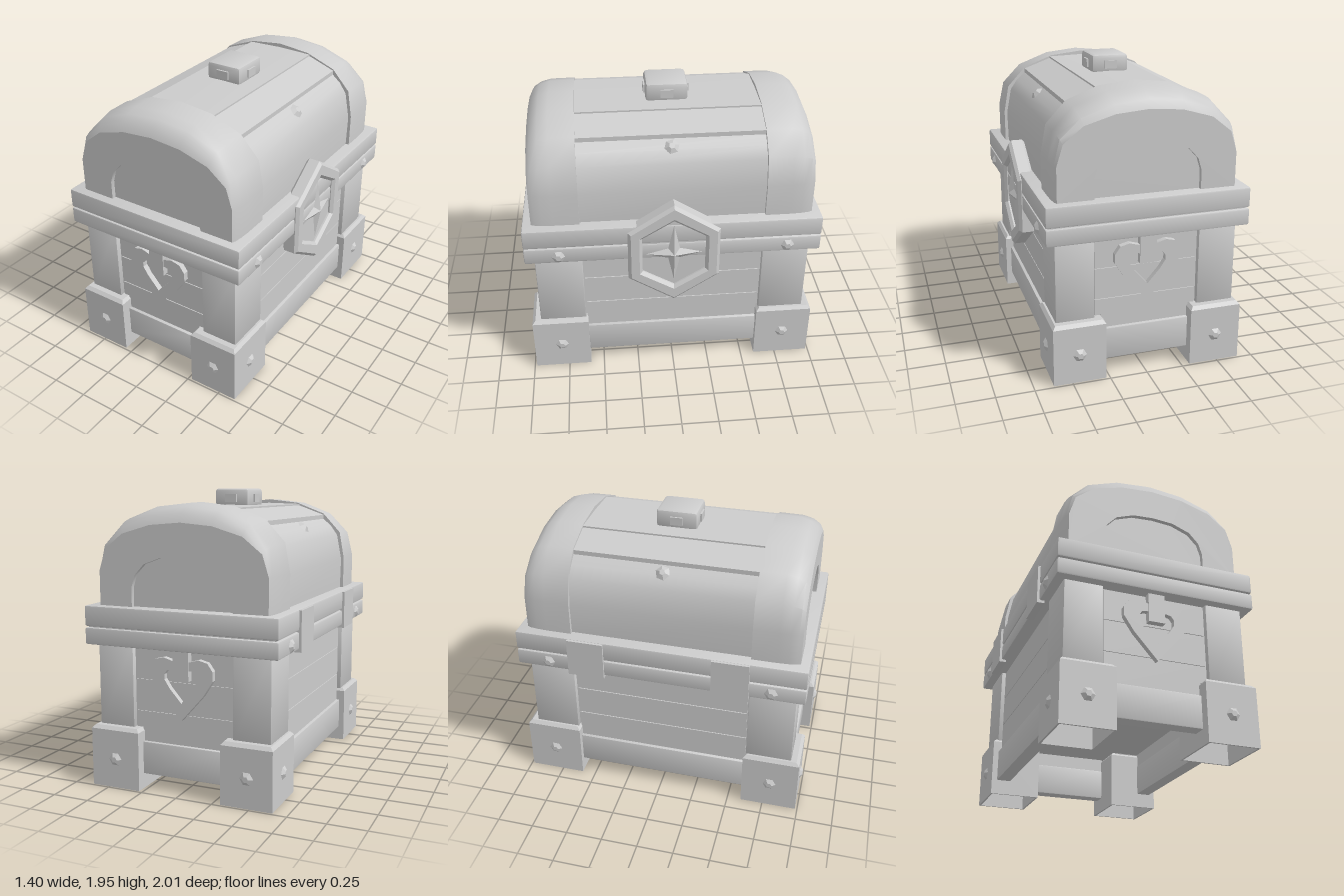
import * as THREE from 'three';
import { toCreasedNormals } from 'three/addons/utils/BufferGeometryUtils.js';
import { RoundedBoxGeometry } from 'three/addons/geometries/RoundedBoxGeometry.js';

const grey = new THREE.MeshStandardMaterial({ color: 0xcccccc });
grey.name = 'plain grey';

const V = (list) => list.map(([x, y]) => new THREE.Vector2(x, y));
// Completes a half outline (right side, bottom to top) with its mirror image
const mirrored = (half) => [...half, ...half.slice().reverse().filter(([x]) => x > 0).map(([x, y]) => [-x, y])];

function add(parent, name, geometry, x = 0, y = 0, z = 0) {
  const mesh = new THREE.Mesh(geometry, grey);
  mesh.name = name;
  mesh.position.set(x, y, z);
  parent.add(mesh);
  return mesh;
}

// Box given by centre x/z and bottom/top y; optional softened edges
function box(parent, name, w, y0, y1, d, x = 0, z = 0, r = 0) {
  const g = r ? toCreasedNormals(new RoundedBoxGeometry(w, y1 - y0, d, 1, r), 0.6) : new THREE.BoxGeometry(w, y1 - y0, d);
  return add(parent, name, g, x, (y0 + y1) / 2, z);
}

function plate(points, depth, hole, bevel = 0) {
  const shape = new THREE.Shape(V(points));
  if (hole) shape.holes.push(new THREE.Path(V(hole)));
  return toCreasedNormals(new THREE.ExtrudeGeometry(shape, {
    depth, bevelEnabled: bevel > 0, bevelSize: bevel, bevelThickness: bevel, bevelOffset: -bevel, bevelSegments: 1,
  }), 0.5);
}

// Six-sided stud standing on a surface point, its axis along dir
function stud(parent, x, y, z, dir) {
  const g = new THREE.CylinderGeometry(0.02, 0.05, 0.022, 6).toNonIndexed();
  g.computeVertexNormals();
  g.rotateY(Math.PI / 6).translate(0, 0.008, 0).rotateX(Math.PI / 2);
  const m = add(parent, 'stud', g, x, y, z);
  m.quaternion.setFromUnitVectors(new THREE.Vector3(0, 0, 1), new THREE.Vector3(...dir).normalize());
}

// Hollow foot, open below, with a chamfered top
function foot(parent, x, z) {
  const w = 0.348, d = 0.39, wall = 0.012;
  const rect = (a, b) => [[-a, -b], [a, -b], [a, b], [-a, b]];
  const sides = plate(rect(w / 2, d / 2), 0.39, rect(w / 2 - wall, d / 2 - wall)).rotateX(-Math.PI / 2);
  add(parent, 'foot', sides, x, 0, z);
  const cap = new THREE.CylinderGeometry(0.89 * Math.SQRT1_2, Math.SQRT1_2, 0.022, 4).toNonIndexed();
  cap.rotateY(Math.PI / 4).scale(w, 1, d).computeVertexNormals();
  add(parent, 'footTop', cap, x, 0.401, z);
}

const LID = mirrored([[0.605, 1.2], [0.605, 1.43], [0.57, 1.62], [0.44, 1.76], [0.23, 1.84], [0, 1.865]]);
const ARCH = mirrored([[0.35, 1.2], [0.35, 1.33], [0.325, 1.41], [0.26, 1.48], [0.14, 1.525], [0, 1.535]]);
// The arch drawn in by inset, most at the crown and little at the upright sides
const shrink = (inset) => LID.map(([x, y]) => {
  const t = Math.max(0, (y - 1.43) / 0.435);
  return [x * (1 - inset * (0.3 + 0.3 * t)), y - inset * t];
});

// Rounded end band of the lid, lofted from shrinking arches
function bandGeometry() {
  const sections = [[0.61, 0], [0.78, 0.003], [0.85, 0.025], [0.9, 0.065], [0.925, 0.12]];
  const n = LID.length, pos = [], idx = [];
  sections.forEach(([z, inset]) => shrink(inset).forEach(([x, y]) => pos.push(x, y, z)));
  for (let s = 0; s < sections.length - 1; s++) {
    for (let i = 0; i < n - 1; i++) {
      const a = s * n + i, b = a + 1, c = a + n, d = c + 1;
      idx.push(a, b, c, b, d, c);
    }
  }
  const g = new THREE.BufferGeometry();
  g.setAttribute('position', new THREE.Float32BufferAttribute(pos, 3));
  g.setIndex(idx);
  return toCreasedNormals(g, 0.75);
}

function heart(s) {
  const half = [[0, -0.24], [0.15, -0.07], [0.215, 0.03], [0.215, 0.09], [0.18, 0.14], [0.12, 0.155], [0.05, 0.135], [0, 0.09]];
  const left = half.slice(1, -1).reverse().map(([x, y]) => [-x, y]);
  return [...half, ...left].map(([x, y]) => [x * s, y * s]);
}

// Four-pointed faceted star, raised towards +z
function starGeometry() {
  const pos = [];
  const p = (i) => {
    const r = i % 2 ? 0.055 : i % 4 ? 0.222 : 0.185, a = i * Math.PI / 4;
    return [r * Math.cos(a), r * Math.sin(a), 0];
  };
  for (let i = 0; i < 8; i++) pos.push(0, 0, 0.035, ...p(i), ...p(i + 1));
  const g = new THREE.BufferGeometry();
  g.setAttribute('position', new THREE.Float32BufferAttribute(pos, 3));
  g.computeVertexNormals();
  return g;
}

export function createModel() {
  const root = new THREE.Group();
  root.name = 'treasureChest';
  const chest = new THREE.Group();
  chest.name = 'chest';
  chest.position.x = -0.015;
  root.add(chest);

  // Body with its floor at foot height
  box(chest, 'body', 1.14, 0.412, 0.96, 1.78);

  // Plank rows between the posts and base beams between the feet
  for (const s of [-1, 1]) {
    for (let i = 0; i < 3; i++) {
      const y = 0.315 + i * 0.212;
      box(chest, 'sidePlank', 0.07, y, y + 0.206, 1.2, s * 0.542);
      box(chest, 'endPlank', 0.6, y, y + 0.206, 0.07, 0, s * 0.862);
      box(chest, 'endPlankMargin', 0.68, Math.max(y, 0.412), y + 0.206, 0.07, 0, s * 0.862);
    }
    box(chest, 'sideBeam', 0.1, 0.1, 0.32, 1.2, s * 0.55, 0, 0.008);
    box(chest, 'endBeam', 0.59, 0.1, 0.32, 0.1, 0, s * 0.87, 0.008);
  }

  // Corner posts, feet and studs
  for (const sx of [-1, 1]) {
    for (const sz of [-1, 1]) {
      box(chest, 'cornerPost', 0.255, 0.4, 0.96, 0.315, sx * 0.4775, sz * 0.7675, 0.008);
      foot(chest, sx * 0.464, sz * 0.79);
      stud(chest, sx * 0.465, 0.195, sz * 0.985, [0, 0, sz]);
      stud(chest, sx * 0.638, 0.195, sz * 0.79, [sx, 0, 0]);
      stud(chest, sx * 0.67, 1.0, sz * 0.76, [sx, 0, 0]);
    }
    stud(chest, sx * 0.485, 1.687, 0, [sx * 0.7, 0.71, 0]);
  }

  // Rims of the body and the lid
  box(chest, 'lowerRim', 1.34, 0.95, 1.062, 1.97, 0, 0, 0.012);
  box(chest, 'rimGap', 1.3, 1.04, 1.1, 1.93);
  box(chest, 'upperRim', 1.34, 1.07, 1.205, 1.97, 0, 0, 0.012);

  // Middle of the lid with stepped boards
  const boards = mirrored([[0.58, 1.19], [0.585, 1.42], [0.55, 1.6], [0.5, 1.67], [0.44, 1.72], [0.44, 1.75],
    [0.245, 1.82], [0.245, 1.831], [0, 1.838]]);
  add(chest, 'lidBoards', plate(boards, 1.24), 0, 0, -0.62);

  // Both ends: lid band, recessed arch and heart clasp
  for (const turn of [0, Math.PI]) {
    const end = new THREE.Group();
    end.name = turn ? 'backEnd' : 'frontEnd';
    end.rotation.y = turn;
    chest.add(end);
    add(end, 'lidBand', bandGeometry());
    add(end, 'lidBandInnerFace', new THREE.ShapeGeometry(new THREE.Shape(V(LID))).rotateY(Math.PI), 0, 0, 0.61);
    // Arch opening raised a hair so that it stays inside the outline
    const opening = ARCH.map(([x, y]) => [x, Math.max(y, 1.201)]);
    add(end, 'lidEndFrame', plate(shrink(0.12), 0.04, opening), 0, 0, 0.885);
    add(end, 'archPanel', new THREE.ShapeGeometry(new THREE.Shape(V(ARCH))), 0, 0, 0.895);
    add(end, 'heartRing', plate(heart(1.02), 0.04, heart(0.55)), 0, 0.74, 0.895);
    box(end, 'strap', 0.11, 0.755, 0.96, 0.05, 0, 0.917);
  }

  // Knob on top with a small tab on each side, and the hinges
  box(chest, 'knob', 0.256, 1.82, 1.95, 0.28, 0, 0, 0.025);
  for (const s of [-1, 1]) {
    box(chest, 'knobTab', 0.02, 1.855, 1.91, 0.085, s * 0.129, 0);
    box(chest, 'knobTab', 0.085, 1.855, 1.91, 0.02, 0, s * 0.142);
    box(chest, 'hinge', 0.05, 0.932, 1.2, 0.25, -0.661, s * 0.49);
  }

  // Emblem on the left side
  const emblem = new THREE.Group();
  emblem.name = 'emblem';
  emblem.position.set(0, 0.98, 0);
  emblem.rotation.y = Math.PI / 2;
  root.add(emblem);
  const hex = (w, h, k) => [[w, -k], [w, k], [0, h], [-w, k], [-w, -k], [0, -h]];
  add(emblem, 'emblemFrame', plate(hex(0.305, 0.385, 0.185), 0.075, hex(0.21, 0.262, 0.133), 0.02), 0, 0, 0.585);
  add(emblem, 'emblemPanel', plate(hex(0.26, 0.32, 0.16), 0.06), 0, 0, 0.588);
  add(emblem, 'star', starGeometry(), 0, 0.005, 0.657);
  return root;
}
